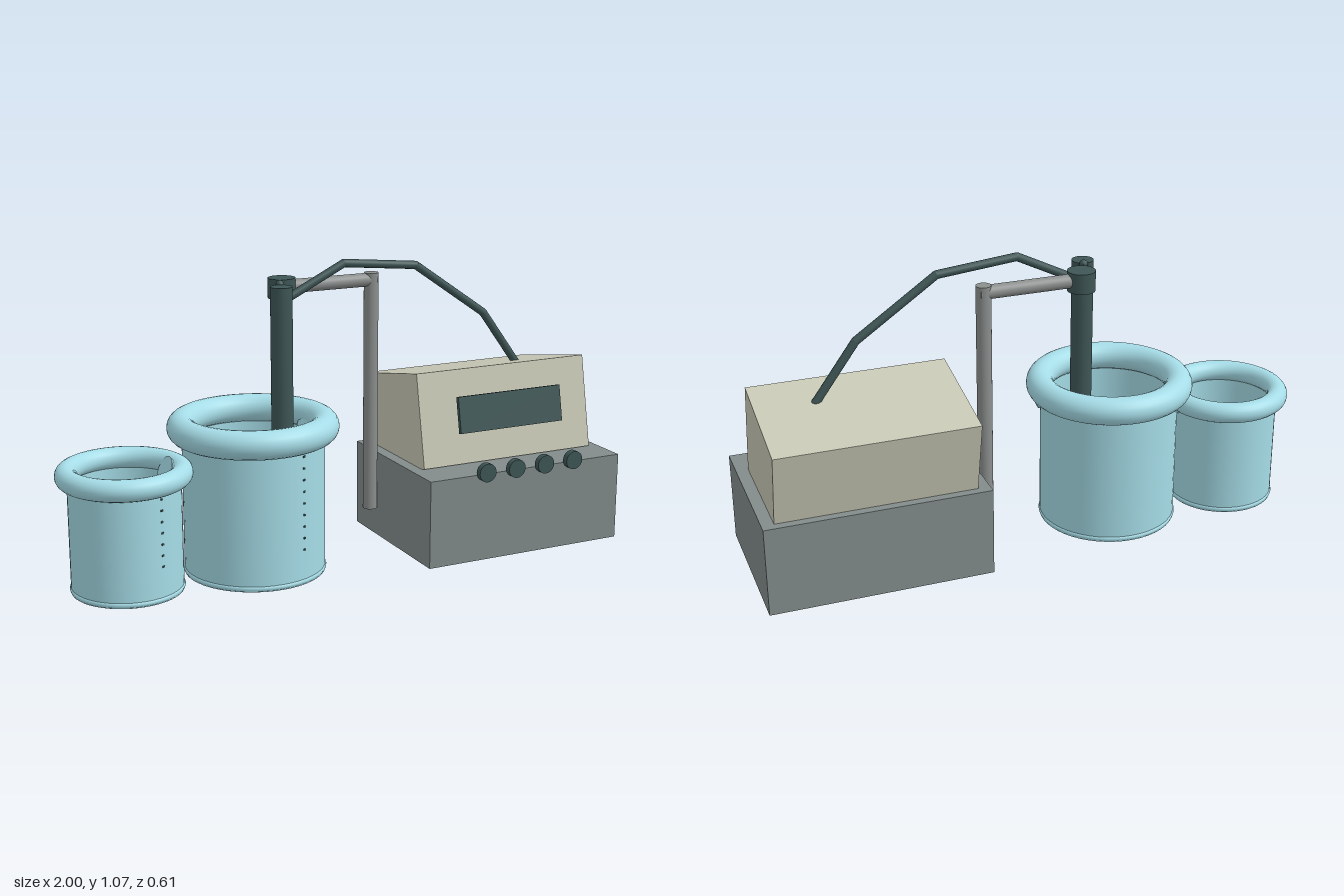
import * as THREE from 'three';

const mat = (name, color, side = THREE.FrontSide) => {
  const m = new THREE.MeshStandardMaterial({ color, side });
  m.name = name;
  return m;
};

export function createModel() {
  const root = new THREE.Group();
  root.name = 'benchMeter';
  const glass = mat('paleBlueGlass', 0xa6dde8, THREE.DoubleSide);
  const navy = mat('navyLiquid', 0x2c3d88);
  const blue = mat('blueLiquid', 0x1a6fa6);
  const baseGrey = mat('baseGrey', 0x828c8b);
  const beige = mat('beigeHousing', 0xc8c8b6);
  const dark = mat('darkSlate', 0x3f5656);
  const steel = mat('steelGrey', 0x8b8f8e);

  const add = (name, geometry, material, x = 0, y = 0, z = 0, parent = root) => {
    const m = new THREE.Mesh(geometry, material);
    m.name = name;
    m.position.set(x, y, z);
    parent.add(m);
    return m;
  };
  // Cylinder whose axis runs from a to b
  const rod = (name, a, b, ra, rb, material, parent = root, sides = 24) => {
    const A = new THREE.Vector3(...a), B = new THREE.Vector3(...b);
    const dir = B.clone().sub(A);
    const m = add(name, new THREE.CylinderGeometry(rb, ra, dir.length(), sides), material, 0, 0, 0, parent);
    m.position.copy(A).add(B).multiplyScalar(0.5);
    m.quaternion.setFromUnitVectors(new THREE.Vector3(0, 1, 0), dir.normalize());
    return m;
  };

  // Meter: base, tilted housing, screen and knobs
  add('meterBase', new THREE.BoxGeometry(0.775, 0.315, 0.566), baseGrey, 0.6125, 0.178, -0.003);
  const housing = new THREE.Group();
  housing.name = 'meterHousing';
  housing.position.set(0.613, 0.465, -0.076);
  housing.rotation.x = -0.2;
  root.add(housing);
  add('housingBox', new THREE.BoxGeometry(0.69, 0.336, 0.403), beige, 0, 0, 0, housing);
  add('screen', new THREE.BoxGeometry(0.42, 0.13, 0.015), dark, 0, 0.008, 0.236, housing);
  for (let i = 0; i < 4; i++) {
    const x = 0.436 + i * 0.1185;
    rod('knob', [x, 0.347, 0.284], [x, 0.347, 0.307], 0.033, 0.033, dark);
  }

  // Stand: post, arm and clamp
  rod('standPost', [0.195, 0.13, -0.12], [0.195, 1.0, -0.12], 0.026, 0.026, steel);
  rod('standArm', [-0.15, 0.975, -0.12], [0.21, 0.975, -0.12], 0.024, 0.024, steel);
  rod('clamp', [-0.15, 0.938, -0.12], [-0.15, 1.008, -0.12], 0.048, 0.048, dark);

  // Probe with a glass bulb at its tip
  rod('probe', [-0.203, 0.2, -0.002], [-0.203, 1.0, -0.002], 0.038, 0.038, dark);
  add('probeBulb', new THREE.SphereGeometry(0.055, 24, 16), glass, -0.203, 0.2, -0.002);

  // Cable in straight runs with round joints
  const path = [[-0.19, 1.0], [-0.178, 0.942], [0.05, 1.055], [0.33, 1.028], [0.61, 0.835], [0.763, 0.625]];
  const cable = new THREE.Group();
  cable.name = 'cable';
  root.add(cable);
  path.forEach(([x, y], i) => {
    add('cableJoint', new THREE.SphereGeometry(0.0145, 12, 8), dark, x, y, -0.043, cable);
    if (i) rod('cableRun', [...path[i - 1], -0.043], [x, y, -0.043], 0.0145, 0.0145, dark, cable, 12);
  });

  // Beaker: walls, rolled rim, foot ring, spout, scale marks and coloured underside
  const beaker = (name, x, r, rimR, tube, rimY, liquid, markX, markTop, marks) => {
    const g = new THREE.Group();
    g.name = name;
    g.position.set(x, 0, -0.006);
    root.add(g);
    const wall = r - 0.014;
    add('outerWall', new THREE.CylinderGeometry(r, r, rimY - 0.02, 48, 1, true), glass, 0, rimY / 2 + 0.01, 0, g);
    add('innerWall', new THREE.CylinderGeometry(wall, wall, rimY - 0.035, 48, 1, true), glass, 0, rimY / 2 + 0.0175, 0, g);
    add('floor', new THREE.CylinderGeometry(wall, wall, 0.012, 48), glass, 0, 0.034, 0, g);
    add('rim', new THREE.TorusGeometry(rimR, tube, 20, 64), glass, 0, rimY, 0, g).rotation.x = Math.PI / 2;
    add('footRing', new THREE.TorusGeometry(r - 0.007, 0.011, 10, 48), glass, 0, 0.031, 0, g).rotation.x = Math.PI / 2;
    const under = [[0, 0], [0.4, 0.002], [0.7, 0.007], [0.88, 0.013], [0.95, 0.021]]
      .map(([k, y]) => new THREE.Vector2(k * r, y));
    add('underside', new THREE.LatheGeometry(under, 48), liquid, 0, 0, 0, g);
    rod('spout', [r - 0.05, rimY - 0.01, 0], [r + 0.03, rimY - 0.045, 0], 0.052, 0.012, glass, g);
    const a = Math.asin((markX - x) / r);
    for (let i = 0; i < marks; i++) {
      const y = 0.145 + (markTop - 0.145) * i / (marks - 1);
      add('scaleMark', new THREE.BoxGeometry(0.008, 0.006, 0.006), dark,
        Math.sin(a) * r, y, Math.cos(a) * r, g).rotation.y = a;
    }
  };
  beaker('largeBeaker', -0.31, 0.244, 0.245, 0.049, 0.53, navy, -0.225, 0.47, 9);
  beaker('smallBeaker', -0.772, 0.189, 0.191, 0.037, 0.422, blue, -0.707, 0.375, 7);
  return root;
}
